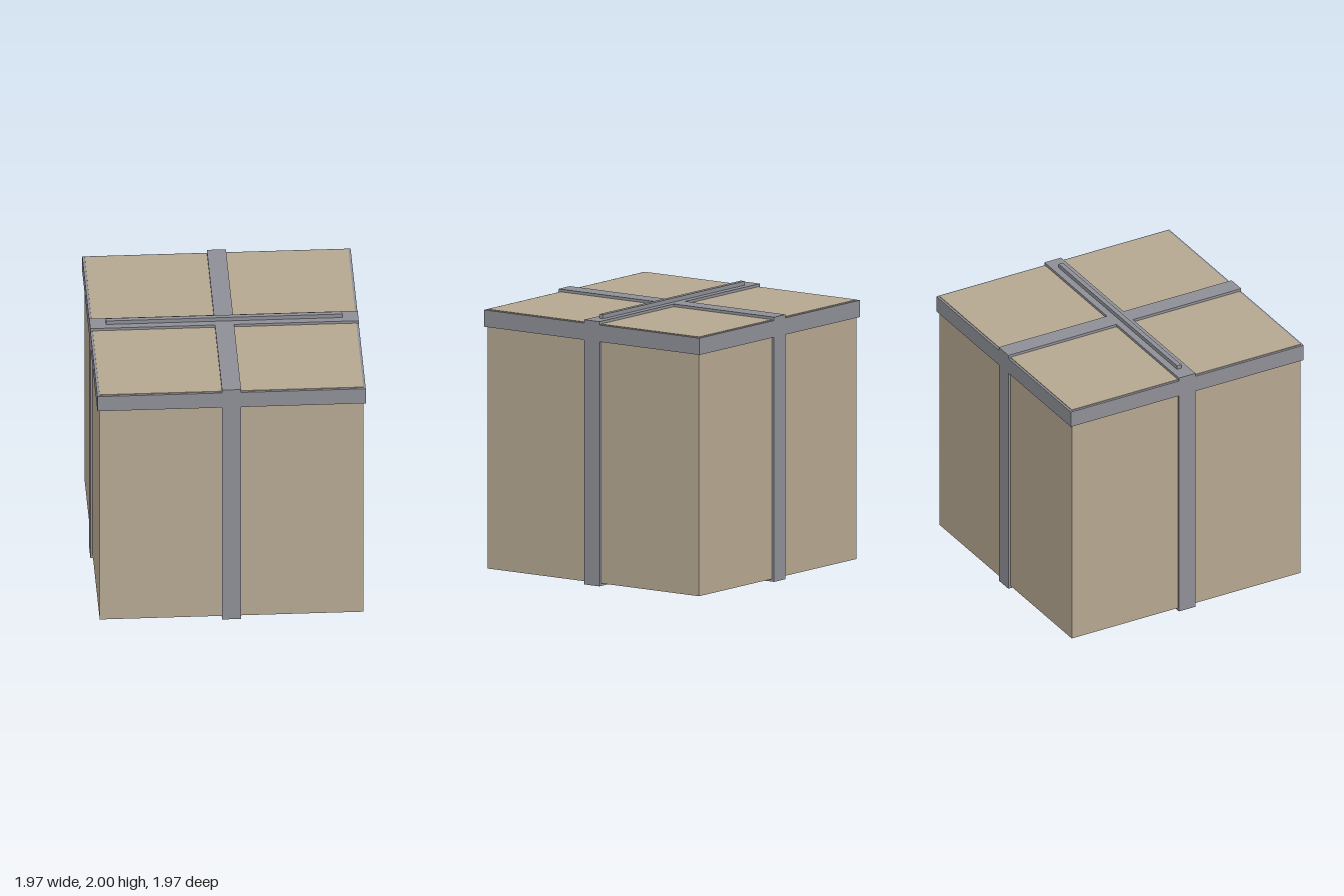
import * as THREE from 'three';

const OUT = 0.985;   // half width over the bands
const BODY = 0.967;  // half width of the box
const TOP = 1.97;    // height over the bands

// Square ring around the y axis
function squareFrame(outer, inner, height) {
  const square = (Type, s) => new Type([[-s, -s], [s, -s], [s, s], [-s, s]].map(([x, y]) => new THREE.Vector2(x, y)));
  const shape = square(THREE.Shape, outer);
  shape.holes.push(square(THREE.Path, inner));
  return new THREE.ExtrudeGeometry(shape, { depth: height, bevelEnabled: false }).rotateX(-Math.PI / 2);
}

export function createModel() {
  const group = new THREE.Group();
  const cardboard = new THREE.MeshStandardMaterial({ color: 0xb5a791 });
  const metal = new THREE.MeshStandardMaterial({ color: 0x8e8f96 });

  const add = (name, geometry, material, y) => {
    const mesh = new THREE.Mesh(geometry, material);
    mesh.name = name;
    mesh.position.y = y;
    group.add(mesh);
    return mesh;
  };

  // Box body
  add('boxBody', new THREE.BoxGeometry(BODY * 2, 1.93, BODY * 2), cardboard, 0.985);

  // Rim around the lid
  add('lidRim', squareFrame(OUT, BODY - 0.005, 0.125), metal, 1.82);

  // Two bands wrapped over top, sides and bottom
  const band = [[0.14, OUT * 2, 'bandFrontToBack'], [OUT * 2, 0.14, 'bandSideToSide']];
  for (const [w, d, name] of band) {
    add(name, new THREE.BoxGeometry(w, TOP, d), metal, TOP / 2);
  }

  // Raised strip on the lid
  add('topStrip', new THREE.BoxGeometry(1.735, 0.03, 0.036), metal, TOP + 0.015);

  return group;
}
